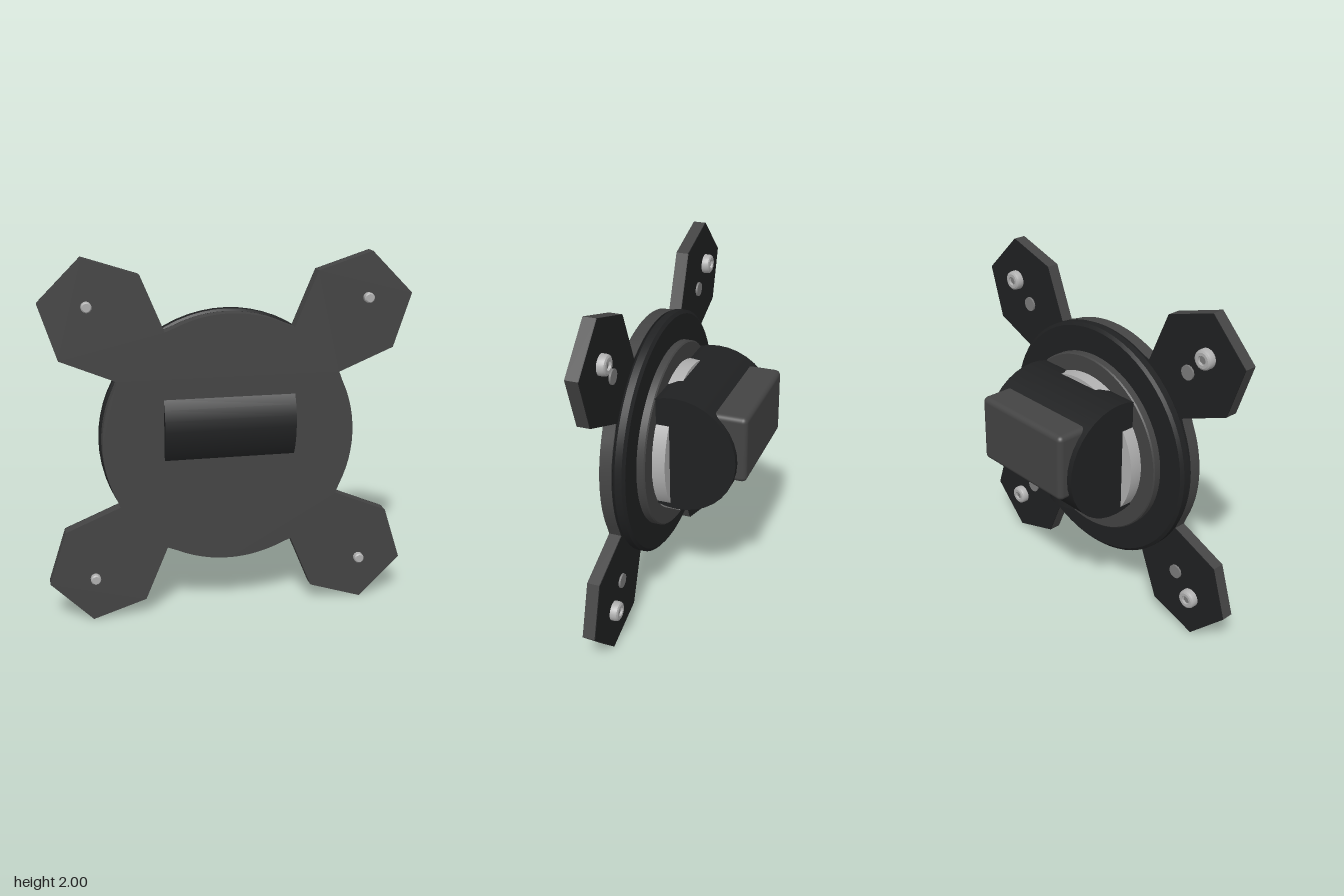
import * as THREE from 'three';
import { toCreasedNormals } from 'three/addons/utils/BufferGeometryUtils.js';
import { RoundedBoxGeometry } from 'three/addons/geometries/RoundedBoxGeometry.js';

const material = (name, color) => {
  const m = new THREE.MeshStandardMaterial({ color });
  m.name = name;
  return m;
};

export function createModel() {
  const model = new THREE.Group();
  model.name = 'mountingBracket';
  const charcoal = material('charcoal', 0x444444);
  const black = material('black', 0x202122);
  const silver = material('silver', 0xb0b0b0);
  const grey = material('grey', 0x7c7c7c);
  const CY = 1;

  const add = (name, geometry, mat, x = 0, y = 0, z = 0, parent = model) => {
    const mesh = new THREE.Mesh(geometry, mat);
    mesh.name = name;
    mesh.position.set(x, y, z);
    parent.add(mesh);
    return mesh;
  };

  // Turned part around z; profile is [radius, z] from back to front
  const turned = (profile, segments) => {
    const pts = profile.map(([r, z]) => new THREE.Vector2(r, z));
    const g = new THREE.LatheGeometry(pts, segments).rotateX(Math.PI / 2);
    return toCreasedNormals(g, 0.5);
  };

  // Disc outline with four hexagonal arms
  const arm = [[0.605, 0.35], [0.905, 0.475], [1, 0.77], [0.77, 1], [0.475, 0.905], [0.35, 0.605]];
  const outline = [];
  for (let k = 0; k < 4; k++) {
    const turn = k * Math.PI / 2;
    for (const [x, y] of arm) {
      outline.push(new THREE.Vector2(x, y).rotateAround(new THREE.Vector2(), turn));
    }
    for (let i = 1; i < 14; i++) {
      const a = turn + Math.PI / 3 + (i / 14) * Math.PI / 3;
      outline.push(new THREE.Vector2(Math.cos(a), Math.sin(a)).multiplyScalar(0.693));
    }
  }
  const plateShape = new THREE.Shape(outline);
  const plate = (depth) => toCreasedNormals(
    new THREE.ExtrudeGeometry(plateShape, { depth, bevelEnabled: false }), 0.4);
  add('frontPlate', plate(0.07), charcoal, 0, CY, 0.253);
  add('plateBacking', plate(0.004), black, 0, CY, 0.249);

  // Stacked rings behind the plate
  add('outerRing', turned([[0, 0.178], [0.685, 0.178], [0.703, 0.192], [0.703, 0.232], [0.685, 0.25], [0, 0.25]], 64), black, 0, CY);
  add('middleRing', turned([[0, 0.131], [0.53, 0.131], [0.537, 0.138], [0.537, 0.18], [0, 0.18]], 64), charcoal, 0, CY);
  add('innerRing', turned([[0, 0.056], [0.435, 0.056], [0.435, 0.135], [0, 0.135]], 48), silver, 0, CY);

  // Drum lying across the rings
  const drum = new THREE.CylinderGeometry(0.344, 0.344, 0.72, 36).rotateZ(Math.PI / 2);
  add('drum', drum, black, 0, 1.07, 0.024);

  // Rounded block at the back of the drum
  add('rearBlock', new RoundedBoxGeometry(0.655, 0.39, 0.3, 4, 0.03), charcoal, 0, 1.145, -0.218);

  // Short neck below the drum
  add('neck', new THREE.CylinderGeometry(0.18, 0.18, 0.2, 32), black, 0, 0.775, 0.075);

  // Bolt and spare plug on each arm
  const head = turned([[0, 0.222], [0.026, 0.222], [0.026, 0.205], [0.042, 0.205], [0.052, 0.211], [0.056, 0.222], [0.056, 0.25], [0, 0.25]], 24);
  const shaft = turned([[0, 0.24], [0.028, 0.24], [0.028, 0.35], [0.022, 0.357], [0, 0.357]], 16);
  const socket = new THREE.CylinderGeometry(0.025, 0.025, 0.006, 6).rotateX(Math.PI / 2);
  const plug = new THREE.CylinderGeometry(0.042, 0.042, 0.012, 12).rotateX(Math.PI / 2);
  for (const sx of [-1, 1]) {
    for (const sy of [-1, 1]) {
      const bolt = new THREE.Group();
      bolt.name = 'bolt';
      bolt.position.set(sx * 0.753, CY + sy * 0.753, 0);
      model.add(bolt);
      add('boltHead', head, silver, 0, 0, 0, bolt);
      add('boltShaft', shaft, silver, 0, 0, 0, bolt);
      add('boltSocket', socket, grey, 0, 0, 0.221, bolt);
      add('armPlug', plug, grey, sx * 0.633, CY + sy * 0.633, 0.244);
    }
  }
  return model;
}
